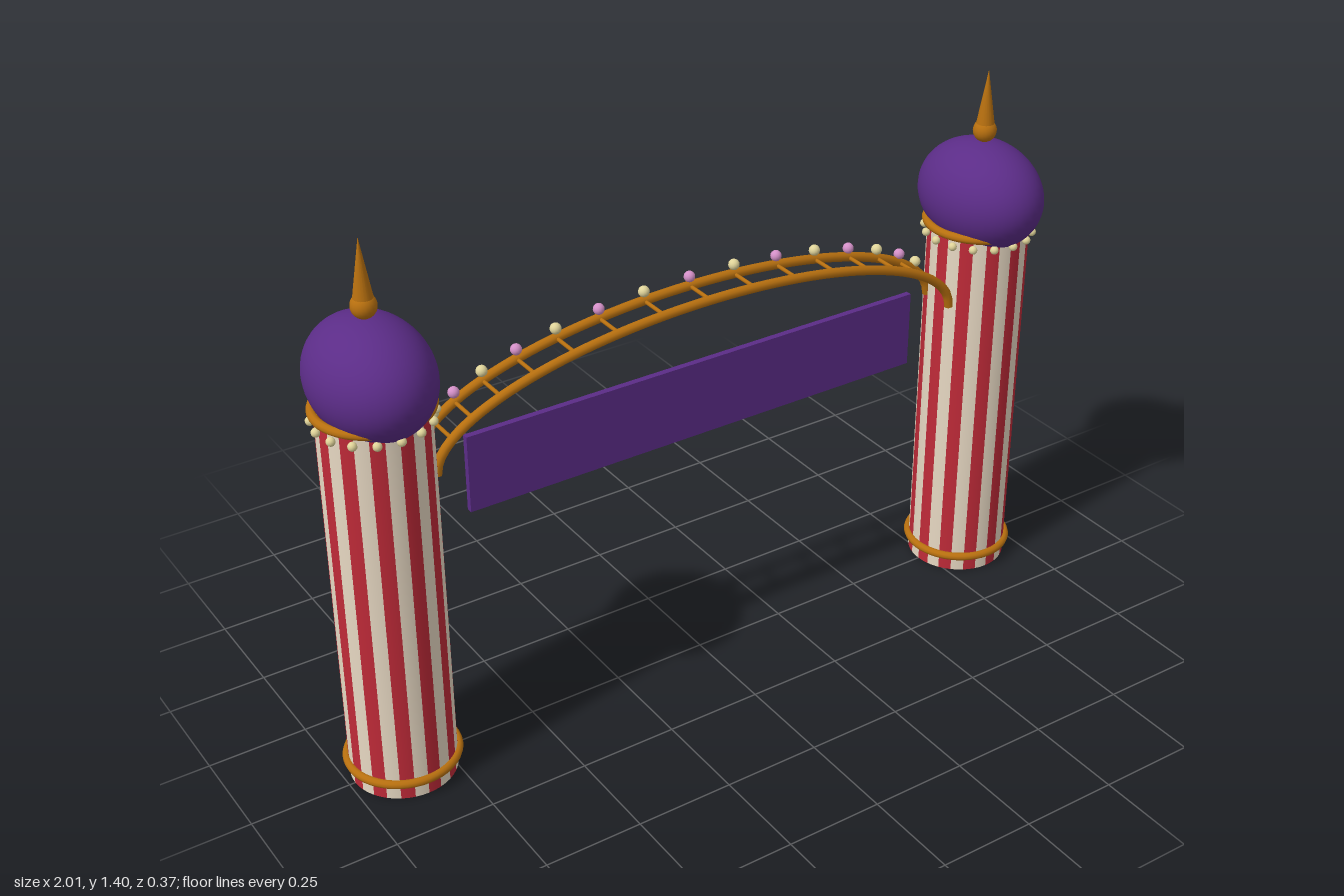
import * as THREE from 'three';

const material = (name, color, side = THREE.FrontSide) => {
  const m = new THREE.MeshStandardMaterial({ color, side });
  m.name = name;
  return m;
};

export function createModel() {
  const gold = material('gold', 0xb8700f);
  const purple = material('purple', 0x5b2c87);
  const cream = material('cream', 0xeadbc5, THREE.DoubleSide);
  const red = material('red', 0xbf2a38, THREE.DoubleSide);
  const yellowBulb = material('pale yellow', 0xe0d49a);
  const pinkBulb = material('pink', 0xd490c8);

  const model = new THREE.Group();
  model.name = 'entranceArch';

  const add = (parent, name, geometry, mat, x = 0, y = 0, z = 0) => {
    const mesh = new THREE.Mesh(geometry, mat);
    mesh.name = name;
    mesh.position.set(x, y, z);
    parent.add(mesh);
    return mesh;
  };

  // Open tower shell with 24 alternating stripes
  const shell = new THREE.CylinderGeometry(0.13, 0.13, 1, 48, 1, true);
  shell.clearGroups();
  for (let i = 0; i < 24; i++) shell.addGroup(i * 12, 12, i % 2);

  const ring = new THREE.TorusGeometry(0.133, 0.011, 10, 48).rotateX(Math.PI / 2);
  const dome = new THREE.SphereGeometry(0.14, 40, 28).scale(1, 1, 1.31);
  const ball = new THREE.SphereGeometry(0.03, 20, 14);
  const spike = new THREE.ConeGeometry(0.026, 0.16, 20);
  const bead = new THREE.SphereGeometry(0.011, 12, 8);

  for (const [side, x] of [['left', 0.855], ['right', -0.855]]) {
    const tower = new THREE.Group();
    tower.name = side + 'Tower';
    tower.position.x = x;
    model.add(tower);
    add(tower, 'stripedShell', shell, [red, cream], 0, 0.5);
    add(tower, 'baseRing', ring, gold, 0, 0.045);
    add(tower, 'topRing', ring, gold, 0, 0.998);
    add(tower, 'dome', dome, purple, 0, 1.07);
    add(tower, 'finialBall', ball, gold, 0, 1.24);
    add(tower, 'finialSpike', spike, gold, 0, 1.32);
    // Beads around the top
    for (let i = 0; i < 16; i++) {
      const a = (i / 16) * Math.PI * 2;
      add(tower, 'bead', bead, yellowBulb, Math.sin(a) * 0.137, 0.972, Math.cos(a) * 0.137);
    }
  }

  // Half-ellipse arch: two rails joined by rungs
  const archPoint = (a, z) =>
    new THREE.Vector3(0.735 * Math.cos(a), 0.8 + 0.227 * Math.sin(a), z);
  const arch = new THREE.Group();
  arch.name = 'arch';
  model.add(arch);
  for (const z of [0.045, -0.045]) {
    const points = [];
    for (let i = 0; i <= 24; i++) points.push(archPoint((i / 24) * Math.PI, z));
    const rail = new THREE.TubeGeometry(new THREE.CatmullRomCurve3(points), 72, 0.012, 10);
    add(arch, z > 0 ? 'frontRail' : 'backRail', rail, gold);
  }

  // Rungs every ten degrees, each with a bulb on the back rail
  const rung = new THREE.CylinderGeometry(0.005, 0.005, 0.09, 8).rotateX(Math.PI / 2);
  const bulb = new THREE.SphereGeometry(0.014, 14, 10);
  for (let k = -7; k <= 7; k++) {
    const p = archPoint(Math.PI / 2 + (k * Math.PI) / 18, -0.045);
    add(arch, 'rung', rung, gold, p.x, p.y, 0);
    add(arch, 'bulb', bulb, k % 2 ? yellowBulb : pinkBulb, p.x, p.y + 0.024, p.z);
  }

  // Plain sign board under the arch
  add(model, 'banner', new THREE.BoxGeometry(1.276, 0.2, 0.016), purple, 0, 0.745);

  return model;
}
